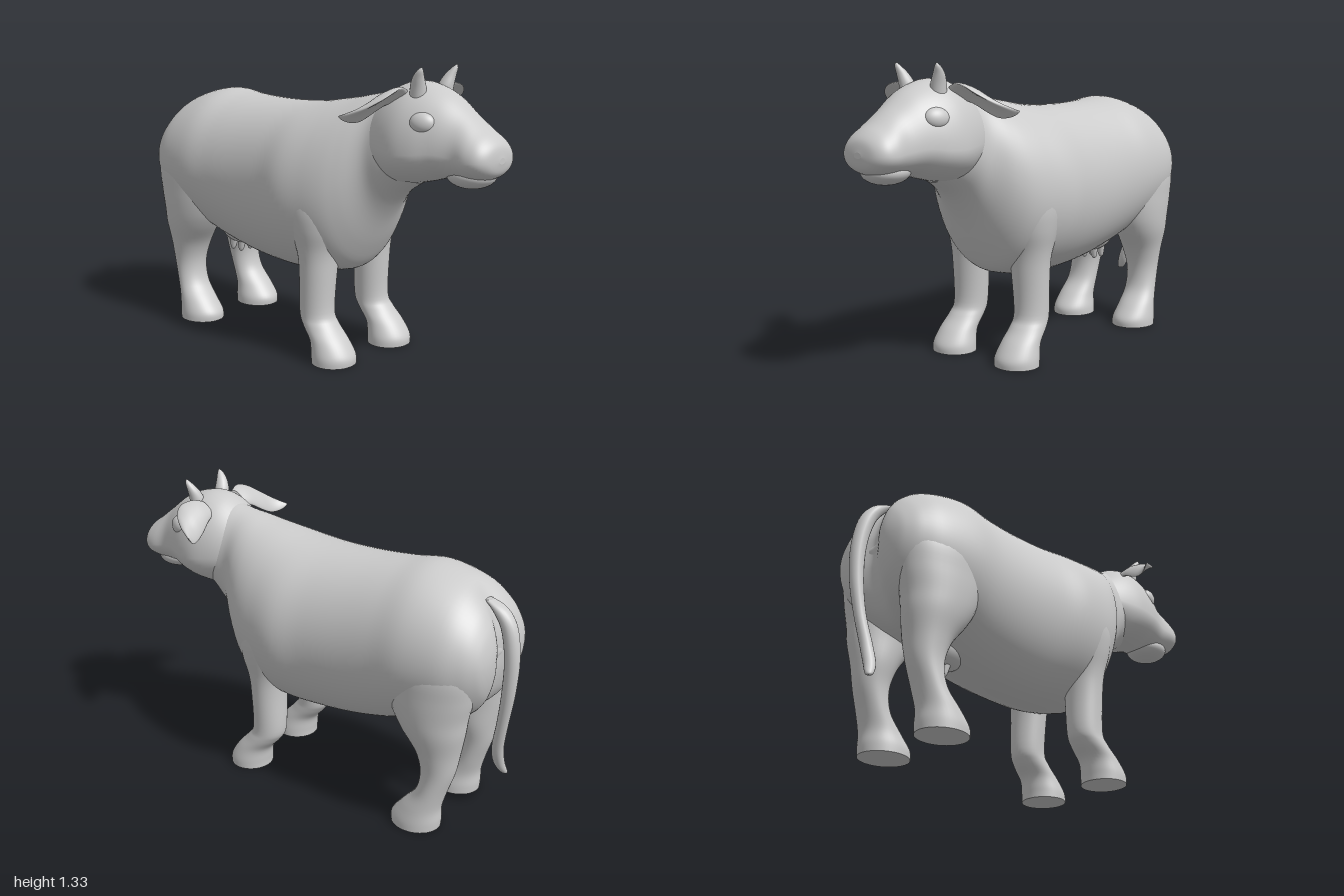
import * as THREE from 'three';

const material = new THREE.MeshStandardMaterial({ color: 0xcccccc });

// Smoothly resample rows of section numbers (Catmull-Rom)
function resample(rows, steps) {
  const out = [], last = rows.length - 1;
  for (let i = 0; i < last; i++) {
    const a = rows[Math.max(i - 1, 0)], b = rows[i], c = rows[i + 1], d = rows[Math.min(i + 2, last)];
    for (let k = 0; k < steps; k++) {
      const t = k / steps;
      out.push(b.map((v, j) => {
        const linear = c[j] - a[j];
        const square = 2 * a[j] - 5 * v + 4 * c[j] - d[j];
        const cubic = 3 * (v - c[j]) + d[j] - a[j];
        return v + 0.5 * t * (linear + t * (square + t * cubic));
      }));
    }
  }
  out.push(rows[last]);
  return out;
}

// Skin closed rings of points; point(row, angle) gives each vertex
function loft(rows, point, segs = 40) {
  const sections = resample(rows, 5), pos = [], index = [];
  const rings = sections.map(row =>
    Array.from({ length: segs }, (_, j) => point(row, (j / segs) * Math.PI * 2)));
  rings.forEach(ring => ring.forEach(p => pos.push(p.x, p.y, p.z)));
  for (let i = 0; i < rings.length - 1; i++) {
    for (let j = 0; j < segs; j++) {
      const a = i * segs + j, b = i * segs + (j + 1) % segs;
      index.push(a, b, a + segs, b, b + segs, a + segs);
    }
  }
  // end caps with their own vertices so that their rims stay crisp
  [rings[0], rings[rings.length - 1]].forEach((ring, end) => {
    const start = pos.length / 3, mid = new THREE.Vector3();
    ring.forEach(p => { pos.push(p.x, p.y, p.z); mid.addScaledVector(p, 1 / segs); });
    pos.push(mid.x, mid.y, mid.z);
    for (let j = 0; j < segs; j++) {
      const a = start + j, b = start + (j + 1) % segs;
      index.push(...(end ? [a, b, start + segs] : [b, a, start + segs]));
    }
  });
  // turn all faces outward, judged by the signed volume
  const at = i => new THREE.Vector3().fromArray(pos, i * 3);
  let volume = 0;
  for (let i = 0; i < index.length; i += 3) {
    volume += at(index[i]).dot(at(index[i + 1]).cross(at(index[i + 2])));
  }
  if (volume < 0) index.reverse();
  const geo = new THREE.BufferGeometry();
  geo.setAttribute('position', new THREE.Float32BufferAttribute(pos, 3));
  geo.setIndex(index);
  geo.computeVertexNormals();
  return geo;
}

// Upright section across z: [z, top, bottom, half width, height of widest point]
function trunkPoint([z, top, bottom, w, mid], a) {
  const s = Math.sin(a);
  return new THREE.Vector3(w * Math.cos(a), mid + s * (s > 0 ? top - mid : mid - bottom), z);
}

// Trunk section with a groove down the middle of the rump
function bodyPoint(row, a) {
  const p = trunkPoint(row, a);
  p.z += 0.05 * THREE.MathUtils.smoothstep(-p.z, 0.72, 0.94) * Math.exp(-((p.x / 0.07) ** 2));
  return p;
}

// Level leg section: [y, front z, back z, inner x, outer x]
const legPoint = side => ([y, zf, zb, xi, xo], a) => new THREE.Vector3(
  side * ((xi + xo) / 2 + (xo - xi) / 2 * Math.cos(a)), y, (zf + zb) / 2 + (zf - zb) / 2 * Math.sin(a));

// Cupped leaf section for an ear, hollow to the front: [x, y, z, half breadth, half thickness, cup]
const earPoint = side => ([x, y, z, r, h, cup], a) => {
  const c = Math.cos(a), n = h * Math.sin(a) + cup * (1 - c * c);
  return new THREE.Vector3(side * (x + n * 0.35), y - 0.62 * r * c + n * 0.66, z - 0.78 * r * c - n * 0.6);
};

// Level round section along a mostly upright path: [x, y, z, radius]
const roundPoint = ([x, y, z, r], a) =>
  new THREE.Vector3(x + r * Math.cos(a), y, z + r * Math.sin(a));

export function createModel() {
  const model = new THREE.Group();
  const add = (name, geo) => {
    const mesh = new THREE.Mesh(geo, material);
    mesh.name = name;
    model.add(mesh);
    return mesh;
  };
  const ellipsoid = (name, p, r) => {
    const mesh = add(name, new THREE.SphereGeometry(1, 36, 24));
    mesh.position.set(...p);
    mesh.scale.set(...r);
    return mesh;
  };

  // Rump, barrel, chest and neck
  add('body', loft([
    [-0.943, 0.83, 0.79, 0.03, 0.81],
    [-0.94, 0.88, 0.73, 0.13, 0.81],
    [-0.925, 0.94, 0.66, 0.2, 0.81],
    [-0.9, 0.995, 0.6, 0.24, 0.81],
    [-0.85, 1.055, 0.54, 0.28, 0.81],
    [-0.76, 1.115, 0.49, 0.318, 0.8],
    [-0.6, 1.155, 0.45, 0.335, 0.79],
    [-0.45, 1.14, 0.4, 0.322, 0.77],
    [-0.28, 1.13, 0.365, 0.318, 0.75],
    [-0.1, 1.13, 0.35, 0.325, 0.75],
    [0.05, 1.14, 0.355, 0.345, 0.75],
    [0.18, 1.16, 0.375, 0.322, 0.76],
    [0.27, 1.175, 0.41, 0.293, 0.78],
    [0.34, 1.19, 0.51, 0.25, 0.83],
    [0.42, 1.205, 0.66, 0.188, 0.92],
    [0.5, 1.22, 0.765, 0.172, 0.97],
    [0.6, 1.22, 0.83, 0.14, 1.0],
  ], bodyPoint, 72));

  // Skull, cheeks and muzzle
  add('head', loft([
    [0.38, 1.15, 0.93, 0.12, 1.02],
    [0.44, 1.195, 0.87, 0.165, 1.0],
    [0.52, 1.248, 0.83, 0.196, 0.99],
    [0.6, 1.264, 0.835, 0.21, 0.98],
    [0.68, 1.25, 0.853, 0.197, 0.98],
    [0.76, 1.215, 0.875, 0.165, 0.99],
    [0.84, 1.155, 0.88, 0.138, 0.98],
    [0.91, 1.1, 0.885, 0.14, 0.97],
    [0.96, 1.065, 0.895, 0.125, 0.97],
    [0.99, 1.03, 0.92, 0.085, 0.97],
    [1.0, 0.985, 0.96, 0.02, 0.97],
  ], trunkPoint, 56));
  ellipsoid('lowerLip', [0, 0.9, 0.855], [0.1, 0.056, 0.105]);

  for (const side of [1, -1]) {
    const tag = side > 0 ? 'left' : 'right';

    add(tag + 'FrontLeg', loft([
      [0, 0.373, 0.175, 0.086, 0.293],
      [0.04, 0.37, 0.172, 0.088, 0.292],
      [0.1, 0.33, 0.16, 0.1, 0.28],
      [0.16, 0.275, 0.11, 0.105, 0.27],
      [0.22, 0.245, 0.085, 0.105, 0.264],
      [0.4, 0.25, 0.085, 0.09, 0.27],
      [0.5, 0.26, 0.075, 0.075, 0.282],
      [0.6, 0.285, 0.04, 0.07, 0.307],
      [0.7, 0.29, 0.0, 0.08, 0.322],
      [0.82, 0.25, 0.0, 0.12, 0.315],
      [0.95, 0.2, 0.03, 0.14, 0.25],
    ], legPoint(side)));

    add(tag + 'HindLeg', loft([
      [0, -0.535, -0.762, 0.086, 0.291],
      [0.04, -0.538, -0.765, 0.088, 0.29],
      [0.1, -0.585, -0.765, 0.1, 0.28],
      [0.18, -0.65, -0.785, 0.105, 0.265],
      [0.28, -0.665, -0.817, 0.1, 0.26],
      [0.38, -0.635, -0.835, 0.08, 0.275],
      [0.48, -0.565, -0.855, 0.07, 0.302],
      [0.56, -0.52, -0.865, 0.06, 0.314],
      [0.66, -0.49, -0.885, 0.06, 0.32],
      [0.78, -0.49, -0.89, 0.08, 0.318],
      [0.92, -0.55, -0.84, 0.12, 0.27],
    ], legPoint(side)));

    add(tag + 'Ear', loft([
      [0.11, 1.205, 0.565, 0.045, 0.02, 0],
      [0.16, 1.205, 0.567, 0.065, 0.018, 0.01],
      [0.22, 1.182, 0.565, 0.085, 0.015, 0.022],
      [0.27, 1.155, 0.548, 0.078, 0.013, 0.022],
      [0.31, 1.137, 0.515, 0.052, 0.012, 0.014],
      [0.34, 1.13, 0.478, 0.024, 0.01, 0.005],
      [0.357, 1.132, 0.457, 0.005, 0.004, 0],
    ], earPoint(side), 28));

    add(tag + 'Horn', loft([
      [side * 0.085, 1.19, 0.64, 0.036],
      [side * 0.092, 1.24, 0.645, 0.034],
      [side * 0.105, 1.28, 0.655, 0.026],
      [side * 0.115, 1.31, 0.67, 0.015],
      [side * 0.117, 1.327, 0.68, 0.003],
    ], roundPoint, 20));

    const eye = ellipsoid(tag + 'Eye', [side * 0.146, 1.11, 0.712], [0.032, 0.043, 0.054]);
    eye.rotation.set(0, side * -0.35, side * 0.25);

    // Teats, a front and a back one on each side
    for (const z of [-0.515, -0.575]) {
      add(tag + 'Teat', loft([
        [side * 0.03, 0.42, z, 0.028],
        [side * 0.03, 0.37, z - 0.005, 0.018],
        [side * 0.03, 0.345, z - 0.008, 0.012],
        [side * 0.03, 0.335, z - 0.008, 0.003],
      ], roundPoint, 16));
    }
  }

  ellipsoid('udder', [0, 0.46, -0.53], [0.1, 0.085, 0.13]);

  // Tail hanging from the rump and swinging aside at the tip
  add('tail', loft([
    [0, 1.04, -0.835, 0.022],
    [0, 1.005, -0.89, 0.036],
    [0.005, 0.93, -0.94, 0.036],
    [0.012, 0.8, -0.965, 0.033],
    [0.012, 0.65, -0.962, 0.03],
    [0, 0.5, -0.942, 0.026],
    [-0.025, 0.36, -0.917, 0.027],
    [-0.055, 0.27, -0.915, 0.026],
    [-0.08, 0.215, -0.93, 0.017],
    [-0.088, 0.204, -0.937, 0.004],
  ], roundPoint, 20));

  return model;
}
